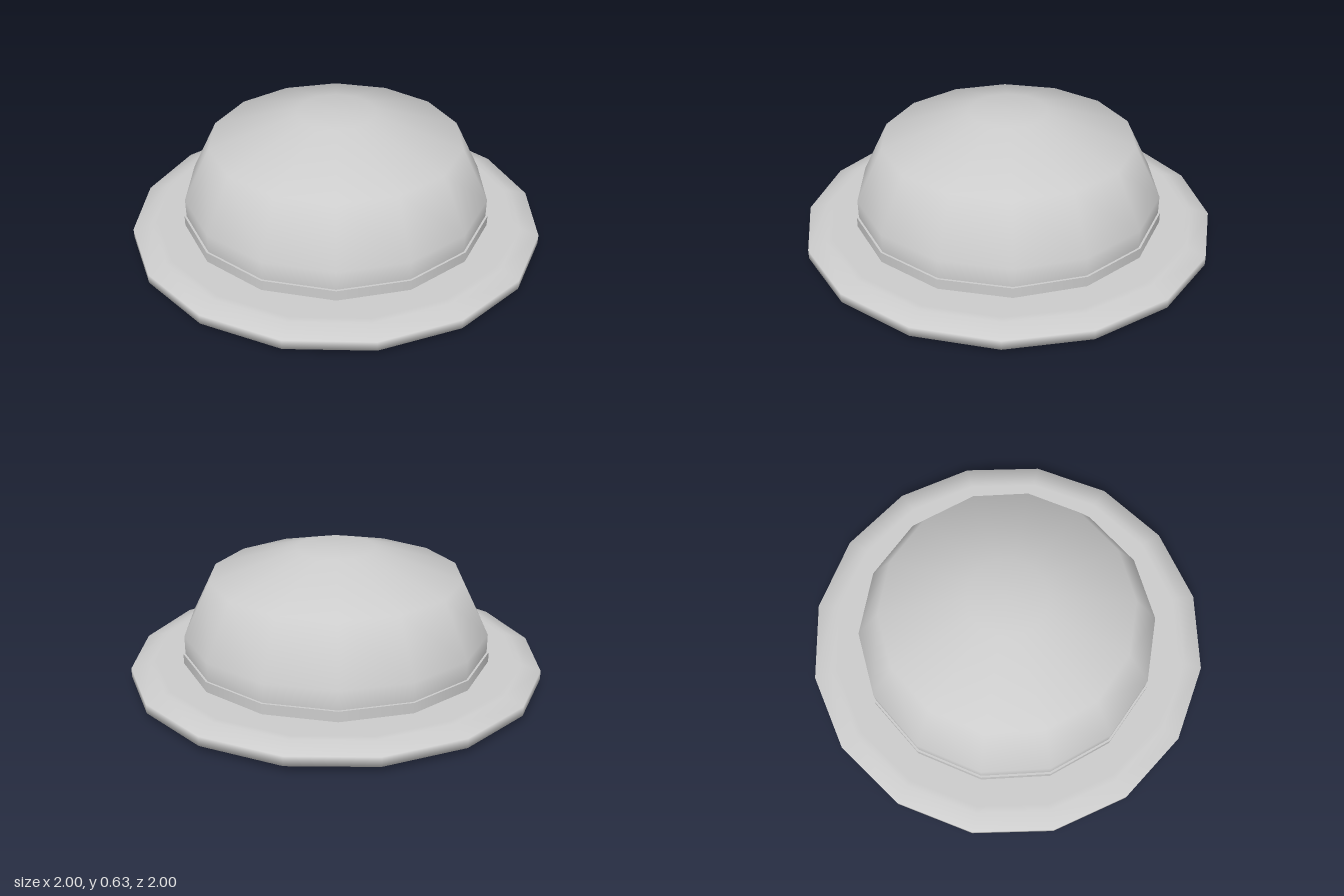
import * as THREE from 'three';

export function createModel() {
  const model = new THREE.Group();
  model.name = 'bowlerHat';

  const felt = new THREE.MeshStandardMaterial({ color: 0xcccccc });
  felt.name = 'light grey felt';

  // Turns a [radius, height] profile, listed bottom to top, with a corner on +x
  const turn = (name, profile, sides) => {
    const points = profile.map(([r, y]) => new THREE.Vector2(r, y));
    const mesh = new THREE.Mesh(new THREE.LatheGeometry(points, sides, Math.PI / 2), felt);
    mesh.name = name;
    model.add(mesh);
  };

  // Wide brim with a softly bevelled rim and flat faces
  turn('brim', [[0, 0], [0.89, 0], [0.91, 0], [1, 0.03], [1, 0.075], [0.91, 0.1], [0.88, 0.1], [0, 0.1]], 16);

  // Low band around the foot of the crown
  turn('band', [[0.75, 0.1], [0.75, 0.15]], 14);
  turn('bandTop', [[0.75, 0.15], [0.7, 0.15]], 14);

  // Domed crown with a small flat top
  turn('crown', [[0.74, 0.15], [0.74, 0.24], [0.61, 0.5], [0.19, 0.63], [0, 0.63]], 14);

  return model;
}
